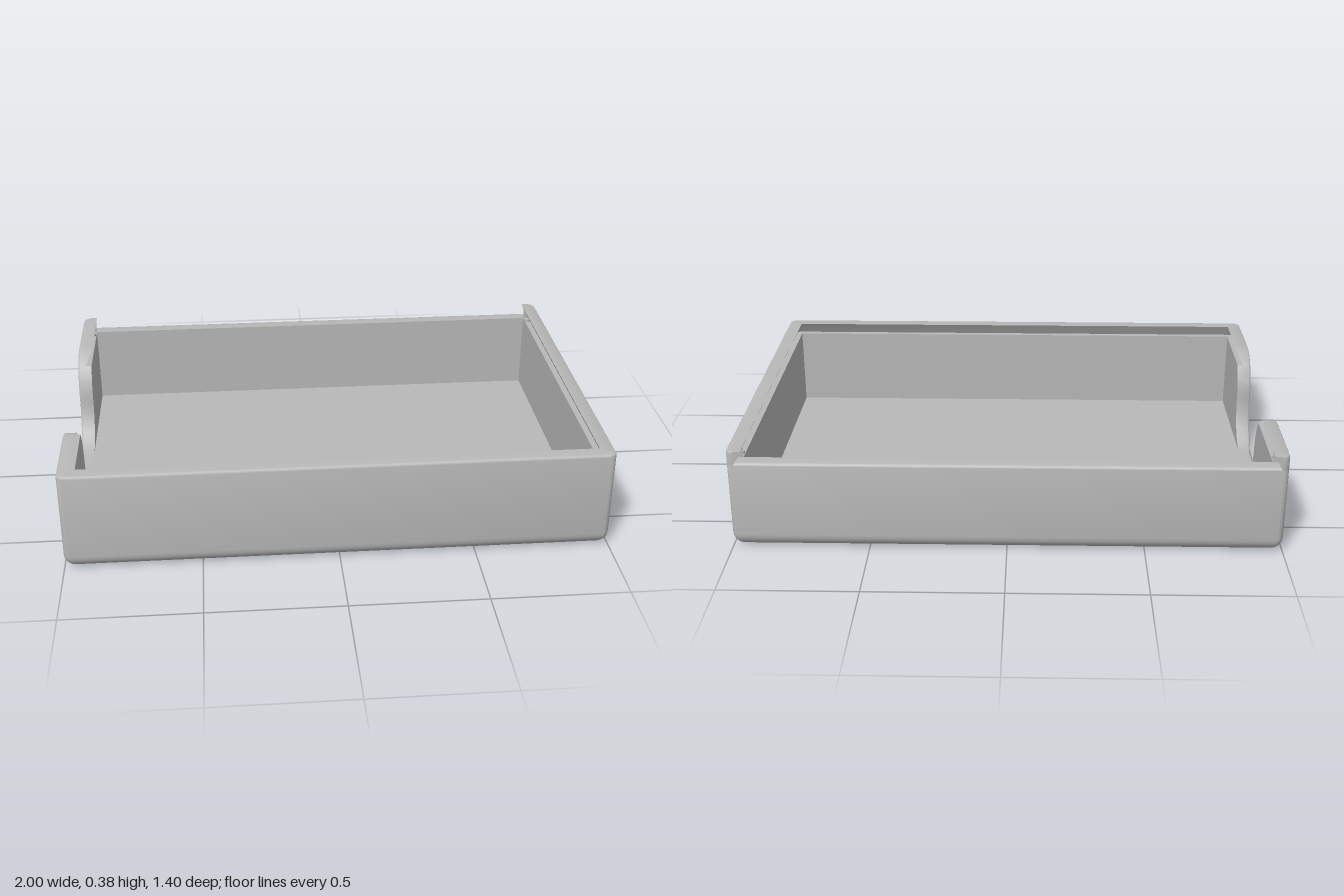
import * as THREE from 'three';
import { toCreasedNormals } from 'three/addons/utils/BufferGeometryUtils.js';

const TOP = 0.385, LEDGE = 0.34, FLOOR = 0.03; // heights
const WALL = 0.055, FOOT = 0.032;              // wall thickness, lip thickness at its foot
const R = 0.055, EDGE = 0.01, CORNER = 0.03;   // bottom, rim and corner rounding
const IX = 1 - WALL, IZ = 0.7 - WALL;
const HALF_PI = Math.PI / 2;

// Skin between consecutive rows of points, dropping collapsed triangles.
function loft(rows, closed, extra = []) {
  const pos = [];
  const tri = (a, b, c) => {
    const n = new THREE.Vector3().crossVectors(b.clone().sub(a), c.clone().sub(a));
    if (n.length() > 1e-9) for (const p of [a, b, c]) pos.push(p.x, p.y, p.z);
  };
  const count = closed ? rows.length : rows.length - 1;
  for (let i = 0; i < count; i++) {
    const p = rows[i], q = rows[(i + 1) % rows.length];
    for (let k = 0; k < p.length - 1; k++) {
      tri(p[k], q[k], q[k + 1]);
      tri(p[k], q[k + 1], p[k + 1]);
    }
  }
  extra.forEach(t => tri(...t));
  const g = new THREE.BufferGeometry();
  g.setAttribute('position', new THREE.Float32BufferAttribute(pos, 3));
  return toCreasedNormals(g, 0.6);
}

// Inset of the outer face at height y, from the rounded bottom.
const inset = y => (y >= R ? 0 : R - Math.sqrt(R * R - (R - y) ** 2));

// Cross-section of the wall at one station: up the outside, over the rim, down the inside.
function section({ o, i, h, nz = 0, ny = 1, lip }) {
  const pts = [];
  const add = (d, y, off = 0) => {
    const t = d / WALL;
    pts.push(new THREE.Vector3(o[0] + (i[0] - o[0]) * t, y, o[1] + (i[1] - o[1]) * t - nz * off));
  };
  for (let k = 0; k <= 8; k++) {
    const y = Math.min(R * (1 - Math.cos(k / 8 * HALF_PI)), h - ny * EDGE);
    add(inset(y), y);
  }
  for (let k = 0; k <= 4; k++) {
    const a = k / 4 * HALF_PI, off = EDGE * (1 - Math.sin(a)), y = h - ny * off;
    add(inset(y) + EDGE * (1 - Math.cos(a)), y, off);
  }
  if (lip) { // undercut groove
    add(FOOT + (WALL - FOOT) * (h - LEDGE) / (TOP - LEDGE), h);
    add(FOOT, LEDGE);
  } else {
    add(WALL, h);
    add(WALL, h);
  }
  add(WALL, Math.min(h, LEDGE));
  add(WALL, FLOOR);
  return pts;
}

// Stations around a rounded outside corner.
function corner(sx, sz, start, lip) {
  return Array.from({ length: 7 }, (_, k) => {
    const t = start + k / 6 * HALF_PI;
    return {
      o: [sx * (1 - CORNER) + CORNER * Math.cos(t), sz * (0.7 - CORNER) - CORNER * Math.sin(t)],
      i: [sx * IX, sz * IZ], h: lip ? TOP : LEDGE, lip
    };
  });
}

// One half of the S-curved finger opening, from floor to rim.
function openingHalf() {
  const mid = (TOP + FLOOR) / 2, ry = (TOP - FLOOR) / 2, rz = 0.15, half = [];
  const put = (z, h, nz, ny, lip) => half.push({ o: [-1, z], i: [-IX, z], h, nz, ny, lip });
  for (let k = 0; k <= 10; k++) {
    const t = k / 10 * HALF_PI, s = Math.sin(t), c = Math.cos(t);
    put(0.1 + rz * s, mid - ry * c, -s, c, false);
  }
  const uL = Math.asin((LEDGE - mid) / ry);
  const upper = (u, lip, h) => put(0.4 - rz * Math.cos(u), h ?? mid + ry * Math.sin(u), -Math.cos(u), Math.sin(u), lip);
  for (let k = 1; k < 6; k++) upper(uL * k / 6, false);
  upper(uL, false, LEDGE);
  upper(uL, true, LEDGE);
  for (let k = 1; k <= 6; k++) upper(uL + (HALF_PI - uL) * k / 6, true);
  return half;
}

export function createModel() {
  const group = new THREE.Group();
  group.name = 'slidingLidTray';
  const grey = new THREE.MeshStandardMaterial({ color: 0xb8b8b8 });
  grey.name = 'grey plastic';
  const addMesh = (name, geometry) => {
    const m = new THREE.Mesh(geometry, grey);
    m.name = name;
    group.add(m);
    return m;
  };

  // Walls: one closed sweep, low at the back where a lid slides in
  const half = openingHalf();
  const mirrored = half.map(s => ({ ...s, o: [s.o[0], -s.o[1]], i: [s.i[0], -s.i[1]], nz: -s.nz })).reverse();
  const step = (s, lip) => ({ o: [s, -IZ], i: [s * IX, -IZ], h: lip ? TOP : LEDGE, lip });
  const stations = [
    ...corner(-1, 1, Math.PI, true), ...corner(1, 1, 1.5 * Math.PI, true),
    step(1, true), step(1, false),
    ...corner(1, -1, 0, false), ...corner(-1, -1, HALF_PI, false),
    step(-1, false), step(-1, true),
    ...mirrored, ...half
  ];
  addMesh('walls', loft(stations.map(section), true));

  // Floor and underside
  const floor = addMesh('floor', new THREE.PlaneGeometry(2 * IX, 2 * IZ).rotateX(-HALF_PI));
  floor.position.y = FLOOR;
  addMesh('underside', new THREE.PlaneGeometry(2 * IX, 2 * IZ).rotateX(HALF_PI));

  for (const s of [1, -1]) {
    const side = s > 0 ? 'left' : 'right';

    // Dovetail rail ends that carry the side lips to the back
    const rail = (ox, z) => [
      [ox, LEDGE - 0.012], [ox, TOP - EDGE], [ox - 0.003, TOP - 0.003],
      [ox - EDGE, TOP], [IX, TOP], [1 - FOOT, LEDGE]
    ].map(([x, y]) => new THREE.Vector3(s * x, y, z));
    const rows = [rail(1, -IZ)];
    for (let k = 0; k <= 5; k++) {
      const t = k / 5 * 1.35;
      rows.push(rail(1 - CORNER + CORNER * Math.cos(t), -0.7 + CORNER - CORNER * Math.sin(t)));
    }
    const end = rows[rows.length - 1], cap = [];
    for (let k = 0; k < 4; k++) cap.push(s > 0 ? [end[5], end[k + 1], end[k]] : [end[5], end[k], end[k + 1]]);
    if (s < 0) rows.reverse();
    addMesh(side + 'RailEnd', loft(rows, false, cap));

    // Small catch for the lid
    const bump = addMesh(side + 'Catch', new THREE.CylinderGeometry(0.01, 0.01, 0.012, 16));
    bump.position.set(s * 0.957, LEDGE + 0.003, -0.61);
  }
  return group;
}
